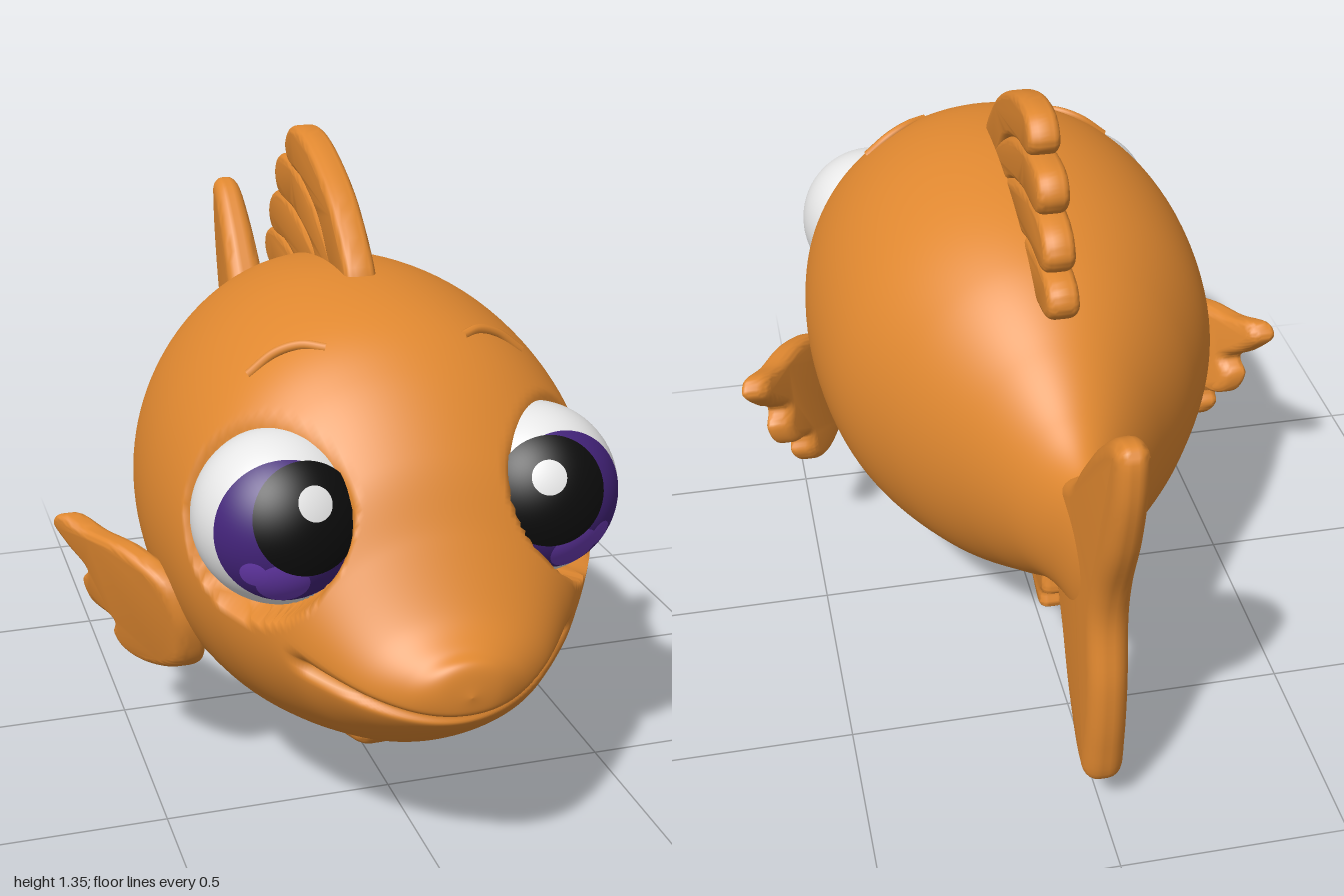
import * as THREE from 'three';
import { toCreasedNormals } from 'three/addons/utils/BufferGeometryUtils.js';

const mat = (name, color) => {
  const m = new THREE.MeshStandardMaterial({ color });
  m.name = name;
  return m;
};

const EYE_R = 0.18;
const eyeCentre = (s) => new THREE.Vector3(0.27 * s, 0.725, 0.6);
const eyeNormal = (s) => new THREE.Vector3(0.7 * s, 0.2, 0.68).normalize();
const smooth = THREE.MathUtils.smoothstep;

// Sinks a flat round socket for each eye
function carveSocket(p) {
  const s = p.x < 0 ? -1 : 1;
  const n = eyeNormal(s);
  const q = p.clone().sub(eyeCentre(s));
  const along = q.dot(n);
  if (along < 0.03) return;
  const perp = q.addScaledVector(n, -along).length();
  p.addScaledVector(n, -(along - 0.03) * (1 - smooth(perp, 0.183, 0.198)));
}

// Presses the smiling mouth line into the snout and sets the jaw back a little
function carveMouth(p) {
  if (p.z < 0.66) return;
  const f = p.y - (0.415 + 0.85 * p.x * p.x);
  const fade = 1 - smooth(Math.abs(p.x), 0.27, 0.31);
  const groove = 0.03 * Math.exp(-((f / 0.012) ** 2)) * fade;
  const inward = new THREE.Vector3(0, 0.46, 0.6).sub(p).normalize();
  p.addScaledVector(inward, groove);
  p.z -= 0.02 * fade * (1 - smooth(f, -0.015, 0.005)) * smooth(p.z, 0.7, 0.95);
}

// Body lofted from oval sections: z, bottom, top, half width
function bodyGeometry() {
  const sections = [
    [0.997, 0.475, 0.475, 0], [0.985, 0.42, 0.535, 0.07], [0.95, 0.375, 0.555, 0.13],
    [0.89, 0.33, 0.605, 0.2], [0.81, 0.28, 0.73, 0.27], [0.73, 0.24, 0.87, 0.335],
    [0.6, 0.19, 1.005, 0.415], [0.45, 0.15, 1.085, 0.465], [0.22, 0.12, 1.115, 0.482],
    [-0.02, 0.14, 1.09, 0.45], [-0.22, 0.2, 1.025, 0.355], [-0.4, 0.305, 0.91, 0.23],
    [-0.53, 0.39, 0.82, 0.145], [-0.63, 0.425, 0.77, 0.09], [-0.75, 0.44, 0.75, 0.055],
    [-0.85, 0.5, 0.7, 0.03], [-0.87, 0.6, 0.6, 0],
  ];
  const curve = (pick) => new THREE.CatmullRomCurve3(
    sections.map((a) => new THREE.Vector3(...pick(a))), false, 'catmullrom', 0.5);
  const heights = curve(([z, lo, hi]) => [z, lo, hi]);
  const widths = curve(([z, , , w]) => [z, w, 0]);
  const rings = (sections.length - 1) * 14;
  const N = 128;
  const pos = [];
  const idx = [];
  for (let i = 0; i <= rings; i++) {
    const a = heights.getPoint(i / rings);
    const w = Math.max(0, widths.getPoint(i / rings).y);
    for (let j = 0; j < N; j++) {
      const t = (j / N) * Math.PI * 2;
      const p = new THREE.Vector3(
        w * Math.cos(t), (a.y + a.z) / 2 + ((a.z - a.y) / 2) * Math.sin(t), a.x);
      carveMouth(p);
      carveSocket(p);
      pos.push(p.x, p.y, p.z);
      if (i === rings) continue;
      const k = i * N + j;
      const k1 = i * N + ((j + 1) % N);
      idx.push(k, k + N, k1, k1, k + N, k1 + N);
    }
  }
  const g = new THREE.BufferGeometry();
  g.setAttribute('position', new THREE.Float32BufferAttribute(pos, 3));
  g.setIndex(idx);
  g.computeVertexNormals();
  return g;
}

// Rounded plate from a smooth (z, y) outline, with an optional rule to bend it
function finGeometry(outline, thick, round, rule) {
  const pts = outline.map(([z, y]) => new THREE.Vector3(z, y, 0));
  const loop = new THREE.CatmullRomCurve3(pts, true, 'centripetal').getPoints(pts.length * 6);
  loop.pop();
  const depth = thick - 2 * round;
  const g = new THREE.ExtrudeGeometry(new THREE.Shape(loop), {
    depth, steps: 1, bevelEnabled: true, bevelThickness: round,
    bevelSize: round * 0.8, bevelOffset: -round * 0.8, bevelSegments: 5,
  });
  g.translate(0, 0, -depth / 2);
  g.rotateY(-Math.PI / 2);
  if (rule) {
    const a = g.attributes.position;
    for (let i = 0; i < a.count; i++) a.setX(i, rule(a.getX(i), a.getY(i), a.getZ(i)));
  }
  return toCreasedNormals(g, 0.9);
}

export function createModel() {
  const orange = mat('orange skin', 0xe08830);
  const white = mat('eye white', 0xf0f0f0);
  const purple = mat('iris purple', 0x43237a);
  const violet = mat('iris violet', 0x6c3cb4);
  const black = mat('pupil black', 0x0c0c0c);

  const fish = new THREE.Group();
  fish.name = 'fish';
  const add = (parent, name, geometry, material) => {
    const m = new THREE.Mesh(geometry, material);
    m.name = name;
    parent.add(m);
    return m;
  };

  add(fish, 'body', bodyGeometry(), orange);

  // Tail, thinner towards the rear
  add(fish, 'tailFin', finGeometry([
    [-0.6, 0.72], [-0.69, 0.785], [-0.745, 0.86], [-0.85, 0.98], [-0.94, 1.05], [-0.99, 1.05],
    [-1, 0.96], [-0.96, 0.8], [-0.885, 0.63], [-0.865, 0.535], [-0.88, 0.375], [-0.87, 0.21],
    [-0.84, 0.095], [-0.775, 0.115], [-0.69, 0.24], [-0.64, 0.36], [-0.6, 0.46],
  ], 0.11, 0.045, (x, y, z) => x * THREE.MathUtils.mapLinear(z, -0.65, -1, 1, 0.6)), orange);

  // Dorsal fin made of four overlapping lobes
  const dorsal = new THREE.Group();
  dorsal.name = 'dorsalFin';
  fish.add(dorsal);
  [
    [[0.29, 1.09], [0.17, 1.23], [0.03, 1.31], [-0.1, 1.35], [-0.19, 1.345], [-0.225, 1.3],
      [-0.2, 1.262], [-0.08, 1.24], [0.06, 1.18], [0.18, 1.07]],
    [[0.2, 1.08], [0.06, 1.185], [-0.08, 1.243], [-0.2, 1.268], [-0.29, 1.26], [-0.318, 1.215],
      [-0.29, 1.17], [-0.15, 1.155], [0, 1.11], [0.08, 1.05]],
    [[0.12, 1.06], [0, 1.115], [-0.15, 1.16], [-0.29, 1.175], [-0.355, 1.15], [-0.378, 1.105],
      [-0.35, 1.065], [-0.22, 1.06], [-0.1, 1.03], [0, 1]],
    [[0, 1.03], [-0.1, 1.04], [-0.22, 1.065], [-0.35, 1.07], [-0.405, 1.05], [-0.42, 1.01],
      [-0.39, 0.975], [-0.31, 0.962], [-0.22, 0.95], [-0.1, 0.96]],
  ].forEach((o, i) => add(dorsal, `dorsalLobe${i + 1}`, finGeometry(o, 0.07, 0.022), orange));

  // Belly fins on the centre line
  add(fish, 'frontBellyFin', finGeometry([
    [0.54, 0.17], [0.43, 0.068], [0.32, 0.018], [0.24, 0.002], [0.225, 0.04], [0.225, 0.12],
    [0.26, 0.2], [0.45, 0.22],
  ], 0.07, 0.022), orange);
  add(fish, 'rearBellyFin', finGeometry([
    [-0.15, 0.22], [-0.24, 0.17], [-0.315, 0.148], [-0.343, 0.165], [-0.335, 0.2],
    [-0.365, 0.22], [-0.362, 0.255], [-0.34, 0.31], [-0.22, 0.28],
  ], 0.06, 0.02), orange);

  for (const s of [1, -1]) {
    const side = s > 0 ? 'left' : 'right';

    // Side fin sweeping back and out from the flank
    add(fish, `${side}SideFin`, finGeometry([
      [0.43, 0.44], [0.405, 0.515], [0.3, 0.56], [0.2, 0.565], [0.125, 0.578], [0.1, 0.55],
      [0.13, 0.5], [0.168, 0.46], [0.14, 0.425], [0.15, 0.37], [0.205, 0.345],
      [0.19, 0.31], [0.205, 0.275], [0.25, 0.26], [0.33, 0.275], [0.39, 0.31], [0.42, 0.37],
    ], 0.065, 0.022,
    (x, y, z) => x + s * (0.44 + 0.55 * (0.43 - z) + 0.25 * (y - 0.5))), orange);

    // Brow ridge
    const brow = new THREE.CatmullRomCurve3([
      [0.145, 1.034, 0.508], [0.19, 1.036, 0.478], [0.24, 1.018, 0.46], [0.295, 0.975, 0.455],
    ].map(([x, y, z]) => new THREE.Vector3(x * s, y, z)));
    add(fish, `${side}Brow`, new THREE.TubeGeometry(brow, 20, 0.011, 8), orange);

    // Eyeball with thin curved caps: azimuth, elevation and half angle in degrees
    const eye = new THREE.Group();
    eye.name = `${side}Eye`;
    eye.position.copy(eyeCentre(s));
    fish.add(eye);
    add(eye, 'eyeball', new THREE.SphereGeometry(EYE_R, 64, 40), white);
    [
      ['iris', purple, 8, 6, 52],
      ['irisGlow', violet, 13, -27, 17],
      ['irisGlowSmall', violet, 32, -18, 9],
      ['pupil', black, -7, 18, 37],
      ['highlight', white, -10, 27, 11],
    ].forEach(([name, material, az, el, half], i) => {
      const [a, e, h] = [az, el, half].map(THREE.MathUtils.degToRad);
      const cap = add(eye, name, new THREE.SphereGeometry(
        EYE_R + 0.0015 * (i + 1), 64, 20, 0, Math.PI * 2, 0, h), material);
      cap.quaternion.setFromUnitVectors(new THREE.Vector3(0, 1, 0), new THREE.Vector3(
        s * Math.sin(a) * Math.cos(e), Math.sin(e), Math.cos(a) * Math.cos(e)));
    });
  }
  return fish;
}
